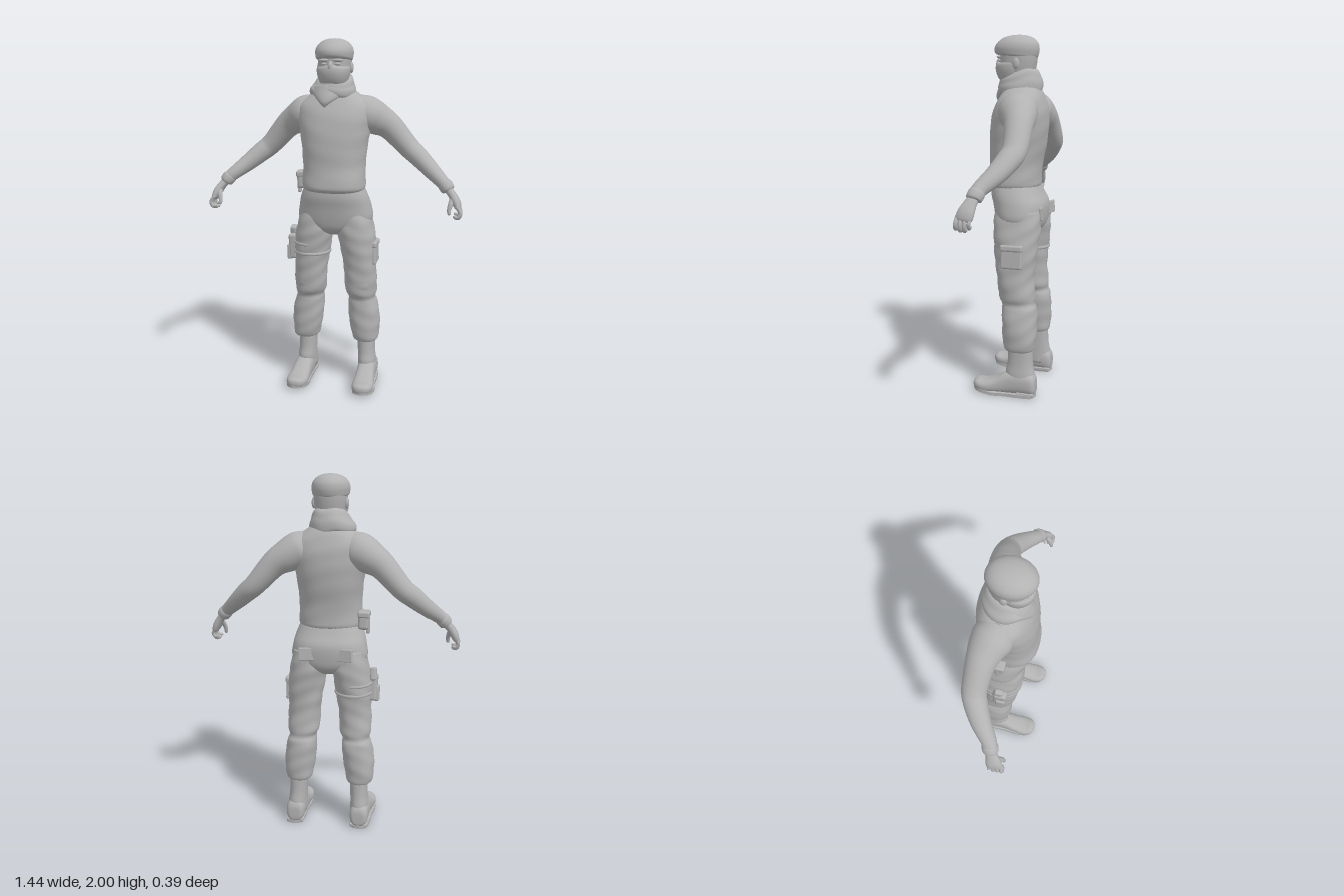
import * as THREE from 'three';
import { RoundedBoxGeometry } from 'three/addons/geometries/RoundedBoxGeometry.js';

const V = (x, y, z) => new THREE.Vector3(x, y, z);

// Smooth closed loft. Station: [x, y, z, halfU, halfW]; rings face `axis`, or follow the path when axis is null.
function loft(stations, { axis = V(0, 1, 0), ref = V(1, 0, 0), power = 2, sides = 32, steps = 4, warp = null } = {}) {
  const n = stations.length, rows = [];
  const at = i => stations[Math.min(n - 1, Math.max(0, i))];
  for (let i = 0; i < n - 1; i++) {
    for (let s = 0; s < steps + (i === n - 2 ? 1 : 0); s++) {
      const t = s / steps;
      rows.push(at(i).map((p1, k) => {
        const p0 = at(i - 1)[k], p2 = at(i + 1)[k], p3 = at(i + 2)[k];
        return 0.5 * (2 * p1 + (p2 - p0) * t + (2 * p0 - 5 * p1 + 4 * p2 - p3) * t * t + (3 * p1 - p0 - 3 * p2 + p3) * t ** 3);
      }));
    }
  }
  const pos = [], idx = [], m = rows.length;
  const centre = r => V(r[0], r[1], r[2]);
  const bend = v => Math.sign(v) * Math.abs(v) ** (2 / power);
  rows.forEach((r, i) => {
    const t = axis ? axis.clone() : centre(rows[Math.min(m - 1, i + 1)]).sub(centre(rows[Math.max(0, i - 1)])).normalize();
    const u = ref.clone().addScaledVector(t, -ref.dot(t)).normalize();
    const w = t.clone().cross(u);
    for (let j = 0; j < sides; j++) {
      const a = j / sides * Math.PI * 2;
      const p = centre(r).addScaledVector(u, Math.max(0.001, r[3]) * bend(Math.cos(a))).addScaledVector(w, Math.max(0.001, r[4]) * bend(Math.sin(a)));
      if (warp) warp(p, i / (m - 1), centre(r));
      pos.push(p.x, p.y, p.z);
    }
  });
  for (let i = 0; i < m - 1; i++) for (let j = 0; j < sides; j++) {
    const a = i * sides + j, b = i * sides + (j + 1) % sides;
    idx.push(a, b, b + sides, a, b + sides, a + sides);
  }
  // end caps
  for (const [row, flip] of [[0, true], [m - 1, false]]) {
    const c = V(0, 0, 0), base = row * sides, mid = pos.length / 3;
    for (let j = 0; j < sides; j++) c.add(V(...pos.slice((base + j) * 3, (base + j) * 3 + 3)));
    c.divideScalar(sides);
    pos.push(c.x, c.y, c.z);
    for (let j = 0; j < sides; j++) {
      const a = base + j, b = base + (j + 1) % sides;
      idx.push(mid, flip ? b : a, flip ? a : b);
    }
  }
  const g = new THREE.BufferGeometry();
  g.setAttribute('position', new THREE.Float32BufferAttribute(pos, 3));
  g.setIndex(idx);
  g.computeVertexNormals();
  return g;
}

export function createModel() {
  const model = new THREE.Group();
  const grey = new THREE.MeshStandardMaterial({ color: 0xb2b2b2 });
  grey.name = 'plain grey';
  const add = (name, geo, parent = model) => {
    const mesh = new THREE.Mesh(geo, grey);
    mesh.name = name;
    parent.add(mesh);
    return mesh;
  };
  const box = (name, w, h, d, x, y, z, rx = 0, ry = 0, rz = 0) => {
    const b = add(name, new RoundedBoxGeometry(w, h, d, 3, Math.min(w, h, d) * 0.3));
    b.position.set(x, y, z);
    b.rotation.set(rx, ry, rz);
    return b;
  };
  const ball = (name, x, y, z, sx, sy, sz) => {
    const b = add(name, new THREE.SphereGeometry(1, 20, 14));
    b.position.set(x, y, z);
    b.scale.set(sx, sy, sz);
    return b;
  };
  // flat stations [y, z, rx, rz, x]
  const level = rows => rows.map(([y, z, rx, rz, x = 0]) => [x, y, z, rx, rz]);
  const fold = (amount, freq, slant) => (p, t, c) => {
    const k = 1 + amount * Math.sin(p.y * freq + (p.x - c.x) * slant) * Math.sin(p.y * 21 + (p.z - c.z) * 25);
    p.x = c.x + (p.x - c.x) * k;
    p.z = c.z + (p.z - c.z) * k;
  };

  // Sweater, bloused over the waist
  add('sweater', loft(level([
    [1.165, 0, 0.16, 0.125], [1.185, 0.005, 0.175, 0.145], [1.22, 0.005, 0.178, 0.147], [1.3, -0.003, 0.174, 0.143],
    [1.4, -0.013, 0.182, 0.154], [1.5, -0.022, 0.198, 0.157], [1.58, -0.03, 0.212, 0.148], [1.64, -0.036, 0.208, 0.13],
    [1.69, -0.04, 0.15, 0.108], [1.73, -0.04, 0.095, 0.085]]), { power: 2.25, sides: 48, warp: fold(0.012, 38, 14) }));

  // Trousers
  add('trouserSeat', loft(level([
    [0.915, -0.045, 0.05, 0.08], [0.95, -0.042, 0.15, 0.122], [1.0, -0.04, 0.212, 0.139], [1.08, -0.033, 0.206, 0.149],
    [1.14, -0.012, 0.19, 0.142], [1.2, 0, 0.165, 0.128]]), { power: 2.3, sides: 40 }));

  for (const s of [1, -1]) {
    const side = s > 0 ? 'left' : 'right';
    const limb = (rows, opt) => loft(rows.map(([x, ...r]) => [x * s, ...r]), opt);

    // Trouser leg with a pinched knee and bloused hem
    const legRows = [
      [0.262, -0.073, 0.055, 0.066, 0.175], [0.275, -0.073, 0.074, 0.084, 0.175], [0.33, -0.07, 0.083, 0.094, 0.173],
      [0.42, -0.068, 0.09, 0.098, 0.166], [0.5, -0.067, 0.085, 0.099, 0.158], [0.535, -0.06, 0.077, 0.092, 0.155],
      [0.575, -0.052, 0.089, 0.102, 0.15], [0.66, -0.042, 0.092, 0.104, 0.148], [0.75, -0.04, 0.096, 0.112, 0.142],
      [0.85, -0.039, 0.104, 0.122, 0.134], [0.95, -0.04, 0.106, 0.133, 0.118], [1.05, -0.04, 0.095, 0.125, 0.105]]
      .map(r => s < 0 ? [...r.slice(0, 4), r[4] + Math.max(0, 0.7 - r[0]) * 0.02] : r);
    add(side + 'TrouserLeg', limb(level(legRows), { power: 2.2, sides: 40, steps: 6, warp: fold(0.03, 47, 30 * s) }));
    const knee = ball(side + 'KneePatch', 0.152 * s, 0.625, 0.015, 0.066, 0.075, 0.043);
    knee.rotation.x = 0.15;

    // Boot: shaft, foot and sole
    add(side + 'BootShaft', limb(level([
      [0.06, -0.09, 0.055, 0.075, 0.186], [0.13, -0.078, 0.053, 0.083, 0.184], [0.19, -0.078, 0.05, 0.073, 0.18],
      [0.3, -0.078, 0.051, 0.07, 0.177]]), { power: 2.2 }));
    add(side + 'BootFoot', limb([
      [0.188, 0.062, -0.172, 0.03, 0.035], [0.188, 0.07, -0.155, 0.05, 0.062], [0.188, 0.078, -0.09, 0.055, 0.07],
      [0.19, 0.07, -0.01, 0.054, 0.066], [0.193, 0.051, 0.06, 0.058, 0.046], [0.195, 0.042, 0.12, 0.062, 0.035],
      [0.195, 0.045, 0.165, 0.053, 0.03], [0.195, 0.046, 0.187, 0.032, 0.02], [0.195, 0.046, 0.193, 0.01, 0.006]],
      { axis: V(0, 0, 1), power: 2.5 }));
    const print = new THREE.Shape(new THREE.SplineCurve([
      [0, -0.172], [0.045, -0.155], [0.054, -0.08], [0.055, 0], [0.066, 0.09], [0.055, 0.16], [0.01, 0.192],
      [-0.045, 0.165], [-0.058, 0.09], [-0.05, 0], [-0.05, -0.08], [-0.043, -0.155], [0, -0.172]]
      .map(([x, z]) => new THREE.Vector2(x * s + 0.192 * s, -z))).getPoints(48));
    const sole = new THREE.ExtrudeGeometry(print, { depth: 0.018, bevelEnabled: false });
    sole.rotateX(-Math.PI / 2);
    // toe spring and arch
    const sp = sole.attributes.position;
    for (let i = 0; i < sp.count; i++) sp.setY(i, sp.getY(i) + Math.max(0, sp.getZ(i) - 0.07) * 0.15);
    sole.computeVertexNormals();
    add(side + 'BootSole', sole);
    box(side + 'BootHeel', 0.1, 0.022, 0.1, 0.188 * s, 0.016, -0.115);

    // Sleeve and cuff
    add(side + 'Sleeve', limb([
      [0.11, 1.612, -0.045, 0.09, 0.09], [0.17, 1.592, -0.06, 0.102, 0.108], [0.23, 1.563, -0.083, 0.09, 0.094],
      [0.3, 1.518, -0.1, 0.073, 0.076], [0.4, 1.41, -0.11, 0.06, 0.066], [0.46, 1.36, -0.09, 0.056, 0.062],
      [0.53, 1.3, -0.05, 0.048, 0.054], [0.6, 1.242, 0.003, 0.038, 0.042], [0.635, 1.21, 0.018, 0.035, 0.038]],
      { axis: null, ref: V(s, 1, 0), sides: 36, steps: 5 }));
    add(side + 'Cuff', limb([
      [0.615, 1.232, 0.01, 0.034, 0.036], [0.622, 1.223, 0.013, 0.04, 0.043], [0.64, 1.2, 0.022, 0.037, 0.041],
      [0.645, 1.193, 0.024, 0.026, 0.03]], { axis: null, ref: V(s, 1, 0) }));

    // Hand with curled fingers
    const hand = new THREE.Group();
    hand.name = side + 'Hand';
    model.add(hand);
    add(side + 'Palm', limb([
      [0.635, 1.205, 0.02, 0.023, 0.028], [0.66, 1.178, 0.032, 0.022, 0.033], [0.685, 1.14, 0.045, 0.023, 0.043],
      [0.698, 1.108, 0.053, 0.018, 0.043], [0.7, 1.095, 0.055, 0.008, 0.03]], { axis: null, ref: V(s, 0.5, 0), power: 2.3 }), hand);
    for (let f = 0; f < 4; f++) {
      const z = 0.02 + f * 0.0225, drop = [0.012, 0, 0, 0.008][f];
      const r = f === 0 ? 0.009 : 0.0108;
      add(side + 'Finger', limb([
        [0.69, 1.12, z, r, r], [0.708, 1.095, z + 0.002, r, r], [0.711, 1.07 + drop, z + 0.004, r, r],
        [0.7, 1.053 + drop, z + 0.005, r, r], [0.682, 1.056 + drop, z + 0.005, r * 0.8, r * 0.8],
        [0.676, 1.06 + drop, z + 0.005, 0.002, 0.002]], { axis: null, ref: V(0, 0, 1), sides: 12 }), hand);
    }
    add(side + 'Thumb', limb([
      [0.67, 1.16, 0.05, 0.016, 0.016], [0.66, 1.13, 0.077, 0.014, 0.014], [0.653, 1.1, 0.089, 0.011, 0.011],
      [0.655, 1.078, 0.094, 0.009, 0.009], [0.656, 1.072, 0.095, 0.002, 0.002]], { axis: null, ref: V(1, 0, 0), sides: 14 }), hand);

    // Face sides
    ball(side + 'Ear', 0.09 * s, 1.845, -0.025, 0.012, 0.03, 0.019);
    ball(side + 'Eye', 0.036 * s, 1.862, 0.081, 0.017, 0.008, 0.01);
    ball(side + 'Brow', 0.038 * s, 1.882, 0.083, 0.03, 0.009, 0.014);
    // Seat pocket
    box(side + 'SeatPocket', 0.1, 0.07, 0.014, 0.1 * s, 1.04, -0.175, 0.05, 0.2 * s, 0);
  }

  // Head, nose and face cloth
  add('head', loft(level([
    [1.7, -0.04, 0.07, 0.07], [1.77, -0.025, 0.072, 0.08], [1.81, -0.01, 0.084, 0.098], [1.86, -0.014, 0.09, 0.103],
    [1.91, -0.015, 0.09, 0.104], [1.95, -0.015, 0.075, 0.085]]), { power: 2.2 }));
  ball('nose', 0, 1.848, 0.092, 0.016, 0.03, 0.023);
  add('faceCloth', loft(level([
    [1.745, 0.005, 0.07, 0.075], [1.775, 0.016, 0.08, 0.086], [1.81, 0.02, 0.089, 0.093], [1.838, 0.018, 0.091, 0.093],
    [1.85, 0.014, 0.087, 0.085]]), { power: 2.1, warp: (p, t) => { p.y += t * 0.012 * (1 - Math.min(1, Math.abs(p.x) / 0.05)); } }));

  // Soft cap, lower at the back
  add('cap', loft(level([
    [1.883, -0.01, 0.088, 0.098], [1.889, -0.004, 0.098, 0.115], [1.905, -0.003, 0.102, 0.123], [1.93, -0.006, 0.104, 0.124],
    [1.958, -0.012, 0.095, 0.112], [1.983, -0.016, 0.07, 0.083], [1.996, -0.018, 0.035, 0.042], [1.999, -0.018, 0.004, 0.004]]),
    { sides: 40, warp: (p, t) => { p.y += p.z * 0.09 * (1 - t); } }));

  // Scarf: rolled collar, high at the nape, with a hanging front point
  add('scarfCollar', loft(level([
    [1.685, -0.03, 0.105, 0.1], [1.7, -0.025, 0.127, 0.12, -0.012], [1.73, -0.022, 0.127, 0.124, -0.012],
    [1.755, -0.02, 0.11, 0.116, -0.005], [1.78, -0.018, 0.098, 0.106], [1.795, -0.018, 0.08, 0.09]]),
    { sides: 40, warp: (p, t) => { p.y += -p.z * 0.28 * t + 0.007 * Math.sin(p.x * 45 + p.z * 20); } }));
  add('scarfPoint', loft([
    [-0.03, 1.635, 0.108, 0.003, 0.003], [-0.028, 1.66, 0.107, 0.032, 0.014], [-0.022, 1.69, 0.094, 0.07, 0.022],
    [-0.018, 1.72, 0.07, 0.105, 0.035], [-0.01, 1.75, 0.05, 0.1, 0.045]],
    { warp: (p, t) => { p.z -= (p.x + 0.025) ** 2 * 4.5; } }));

  // Right hip pouch and belt
  box('hipPouch', 0.06, 0.1, 0.085, -0.193, 1.215, -0.045, 0, 0, 0.05);
  box('hipPouchFlap', 0.066, 0.035, 0.092, -0.194, 1.25, -0.045, 0, 0, 0.05);
  box('hipPouchStrap', 0.02, 0.13, 0.025, -0.215, 1.205, -0.04);
  // Right thigh holster with straps
  box('holster', 0.05, 0.15, 0.075, -0.247, 0.825, -0.025, 0.08, 0, 0.02);
  box('holsterGrip', 0.034, 0.075, 0.05, -0.25, 0.905, -0.035, 0.25);
  box('holsterPocket', 0.03, 0.09, 0.055, -0.268, 0.79, -0.02, 0.08);
  for (const y of [0.8, 0.855]) {
    const strap = add('thighStrap', new THREE.TorusGeometry(1, 0.045, 8, 40));
    strap.position.set(-0.138, y, -0.039);
    strap.rotation.x = Math.PI / 2;
    strap.scale.set(0.104, 0.12, 0.2);
  }
  // Left thigh cargo pocket
  box('cargoPocket', 0.035, 0.12, 0.12, 0.226, 0.805, -0.04, 0, 0, 0.05);
  box('cargoPocketFlap', 0.04, 0.035, 0.126, 0.228, 0.86, -0.04, 0, 0, 0.05);

  return model;
}
